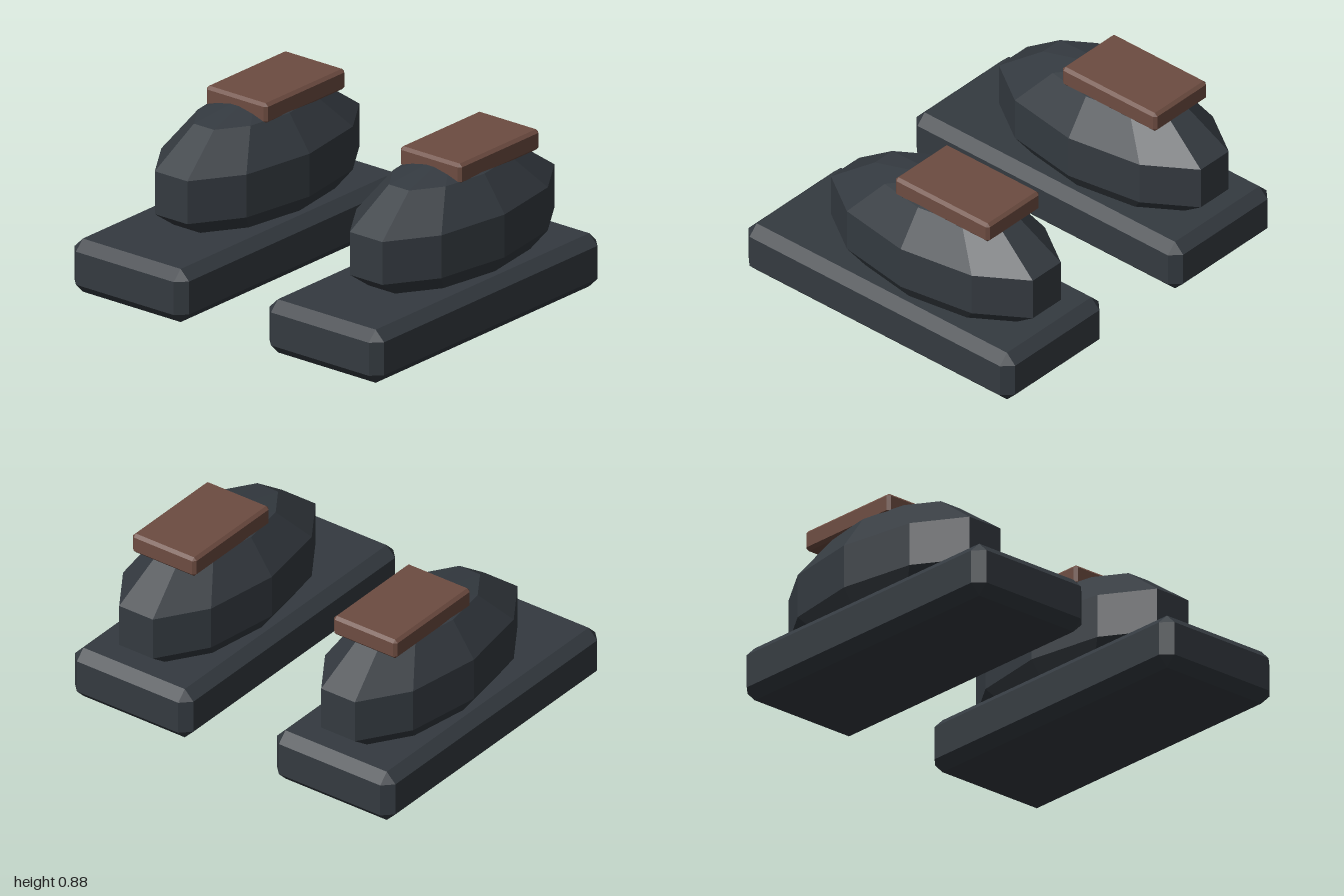
import * as THREE from 'three';
import { ConvexGeometry } from 'three/addons/geometries/ConvexGeometry.js';

// Box with every edge and corner chamfered by c
function chamferBox(w, h, d, c) {
  const points = [];
  for (const x of [-w / 2, w / 2])
    for (const y of [-h / 2, h / 2])
      for (const z of [-d / 2, d / 2]) {
        const ix = x - Math.sign(x) * c, iy = y - Math.sign(y) * c, iz = z - Math.sign(z) * c;
        points.push(
          new THREE.Vector3(x, iy, iz),
          new THREE.Vector3(ix, y, iz),
          new THREE.Vector3(ix, iy, z)
        );
      }
  return new ConvexGeometry(points);
}

function part(name, geometry, material, x, y, z) {
  const mesh = new THREE.Mesh(geometry, material);
  mesh.name = name;
  mesh.position.set(x, y, z);
  return mesh;
}

export function createModel() {
  const leather = new THREE.MeshStandardMaterial({ color: 0x343a40, flatShading: true });
  leather.name = 'dark leather';
  const brown = new THREE.MeshStandardMaterial({ color: 0x6d4c41, flatShading: true });
  brown.name = 'brown strap';

  const soleGeometry = chamferBox(0.74, 0.285, 1.77, 0.054);
  // Faceted ellipsoid: ten sides, five bands
  const upperGeometry = new THREE.SphereGeometry(1, 10, 5).scale(0.357, 0.372, 0.705);
  const strapGeometry = chamferBox(0.396, 0.11, 0.625, 0.016);
  // Stretch the ellipsoid so its end facets reach the toe and heel
  upperGeometry.scale(1, 1, 0.741 / 0.705);

  const model = new THREE.Group();
  model.name = 'pairOfBoots';
  for (const side of [-1, 1]) {
    const boot = new THREE.Group();
    boot.name = side > 0 ? 'leftBoot' : 'rightBoot';
    boot.position.x = side * 0.63;
    boot.add(
      part('sole', soleGeometry, leather, 0, 0.1425, 0),
      part('upper', upperGeometry, leather, 0, 0.49, -0.145),
      part('strap', strapGeometry, brown, -side * 0.003, 0.83, -0.285)
    );
    model.add(boot);
  }
  return model;
}
